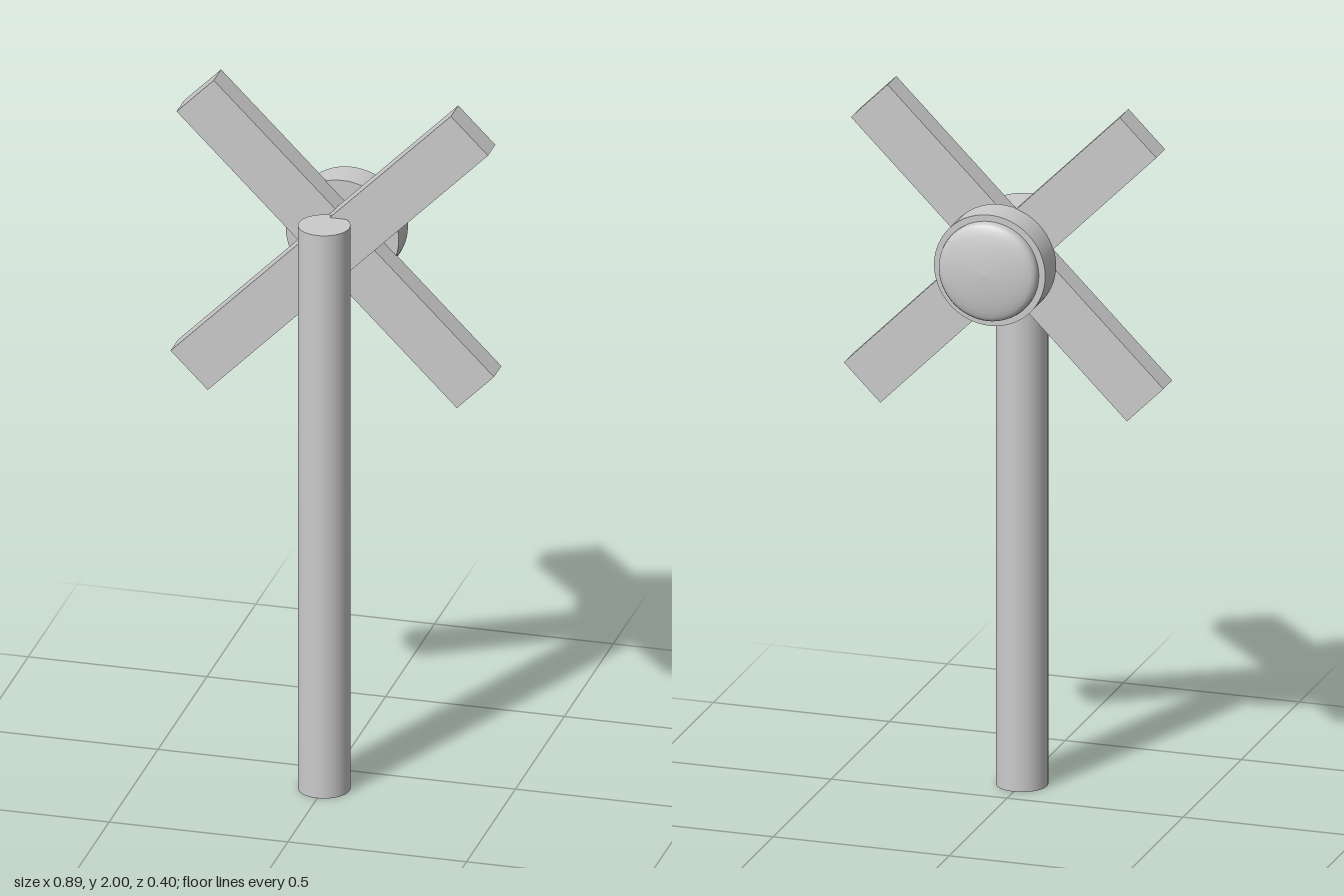
import * as THREE from 'three';

const material = new THREE.MeshStandardMaterial({ color: 0xcccccc });
const HUB_Y = 1.557;

function addPart(parent, name, geometry, x, y, z) {
  const mesh = new THREE.Mesh(geometry, material);
  mesh.name = name;
  mesh.position.set(x, y, z);
  parent.add(mesh);
  return mesh;
}

export function createModel() {
  const model = new THREE.Group();
  model.name = 'crossingSign';

  // Round post standing in front of the crossed boards
  addPart(model, 'post', new THREE.CylinderGeometry(0.071, 0.071, 1.662, 48), 0, 0.831, 0.128);

  // Two crossed boards, slightly let into each other
  const board = new THREE.BoxGeometry(1.109, 0.147, 0.075);
  addPart(model, 'frontBoard', board, 0, HUB_Y, 0.038).rotation.z = Math.PI / 4;
  addPart(model, 'rearBoard', board, 0, HUB_Y, -0.0235).rotation.z = -Math.PI / 4;

  // Lamp on the back: round housing with a domed lens
  const lamp = new THREE.Group();
  lamp.name = 'lamp';
  lamp.position.set(0, HUB_Y, 0);
  lamp.rotation.x = -Math.PI / 2; // local +y points to the back
  model.add(lamp);

  addPart(lamp, 'lampHousing', new THREE.CylinderGeometry(0.158, 0.158, 0.094, 64), 0, 0.104, 0);

  const lensProfile = [
    [0.14, 0], [0.14, 0.012], [0.1385, 0.019], [0.134, 0.026], [0.125, 0.0315],
    [0.108, 0.037], [0.085, 0.042], [0.058, 0.046], [0.03, 0.0485], [0, 0.05],
  ].map(([r, y]) => new THREE.Vector2(r, y));
  addPart(lamp, 'lampLens', new THREE.LatheGeometry(lensProfile, 64), 0, 0.15, 0);

  return model;
}
